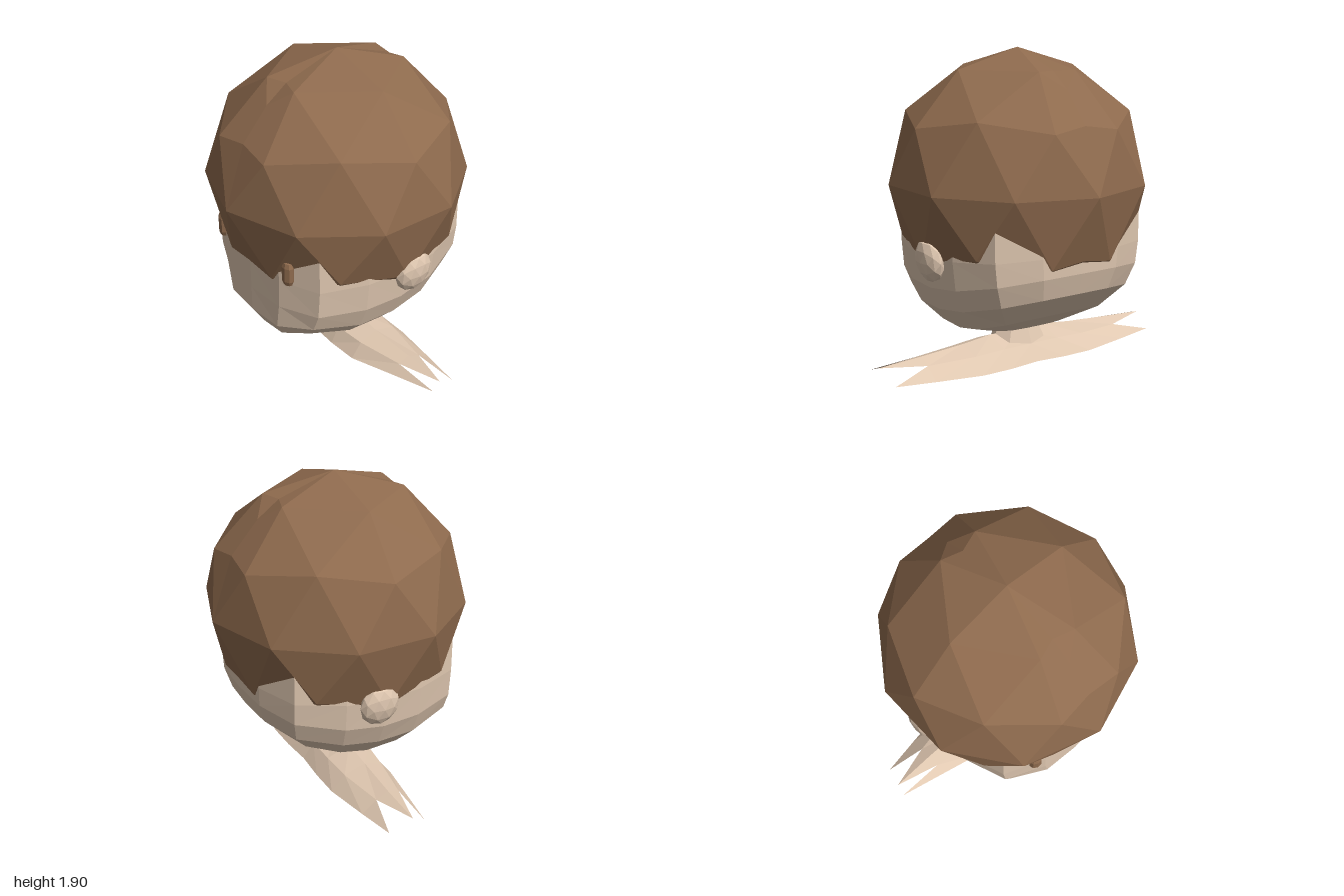
import * as THREE from 'three';

const V = (x, y, z) => new THREE.Vector3(x, y, z);

// Triangles of a grid of points (rows of equal length), skipping collapsed ones
function gridTriangles(rows) {
  const tris = [];
  for (let i = 0; i < rows.length - 1; i++) {
    for (let j = 0; j < rows[i].length - 1; j++) {
      const a = rows[i][j], b = rows[i][j + 1], c = rows[i + 1][j + 1], d = rows[i + 1][j];
      tris.push([a, d, c], [a, c, b]);
    }
  }
  return tris.filter((t) => new THREE.Triangle(...t).getArea() > 1e-7);
}

// Faceted geometry from the +x half plus its mirror image
function mirroredGeometry(tris) {
  const flip = (p) => V(-p.x, p.y, p.z);
  const all = [...tris, ...tris.map(([a, b, c]) => [flip(a), flip(c), flip(b)])];
  const geometry = new THREE.BufferGeometry().setFromPoints(all.flat());
  geometry.computeVertexNormals();
  return geometry;
}

// Keep the x >= 0 part of a triangle
function clipHalf(tri) {
  const out = [];
  tri.forEach((p, i) => {
    const q = tri[(i + 1) % 3];
    if (p.x >= 0) out.push(p);
    if ((p.x >= 0) !== (q.x >= 0)) out.push(p.clone().lerp(q, p.x / (p.x - q.x)));
  });
  return out.slice(2).map((p, i) => [out[0], out[i + 1], p]);
}

// Hair: a faceted ball with a pole on top, one half mirrored on x = 0
function hairGeometry() {
  const ball = new THREE.IcosahedronGeometry(0.79, 1);
  ball.rotateX(-Math.atan((1 + Math.sqrt(5)) / 2));
  ball.rotateY(Math.PI / 2);
  ball.translate(0, 1.12, 0);
  const pos = ball.attributes.position;
  const tris = [];
  for (let i = 0; i < pos.count; i += 3) {
    const tri = [0, 1, 2].map((k) => {
      const p = new THREE.Vector3().fromBufferAttribute(pos, i + k);
      if (Math.abs(p.x) < 1e-5) p.x = 0;
      return p;
    });
    tris.push(...clipHalf(tri));
  }
  return mirroredGeometry(tris.filter((t) => new THREE.Triangle(...t).getArea() > 1e-7));
}

// Head: rounded-square sections, deeper at the chin than at the nape
function headGeometry() {
  const outline = [[0, 1], [0.42, 0.975], [0.81, 0.81], [0.97, 0.38], [1, 0],
    [0.97, -0.38], [0.81, -0.81], [0.42, -0.975], [0, -1]];
  // half width, front z, back z, then y at front, side and back, front corner lift
  const levels = [
    [0.64, 0.645, 0.65, 1.0, 1.0, 1.0, 0],
    [0.64, 0.645, 0.65, 0.72, 0.72, 0.78, 0],
    [0.62, 0.645, 0.645, 0.53, 0.53, 0.66, 0.01],
    [0.56, 0.645, 0.605, 0.37, 0.39, 0.53, 0.05],
    [0.42, 0.57, 0.46, 0.25, 0.25, 0.38, 0.05],
    [0.22, 0.31, 0.24, 0.195, 0.2, 0.25, 0.01],
    [0, 0, 0, 0.195, 0.195, 0.195, 0],
  ];
  const rows = levels.map(([w, zf, zb, yf, ys, yb, lift]) => outline.map(([u, v], j) => {
    const y = THREE.MathUtils.lerp(ys, v > 0 ? yf : yb, Math.abs(v) ** 1.5);
    return V(u * w, y + (j === 2 ? lift : 0), v * (v > 0 ? zf : zb));
  }));
  return mirroredGeometry(gridTriangles(rows));
}

// Shoulders: an open arched shell that ends in three points on each side
function shouldersGeometry() {
  // x, then (y, z) from front edge over the ridge to back edge
  const stations = [
    [0, [0.02, 0.19], [0.11, 0.14], [0.155, 0], [0.11, -0.15], [0.015, -0.22]],
    [0.2, [0.01, 0.195], [0.11, 0.14], [0.165, 0], [0.11, -0.15], [0.01, -0.23]],
    [0.4, [0.012, 0.19], [0.1, 0.12], [0.142, 0], [0.1, -0.14], [0.01, -0.23]],
    [0.7, [0.05, 0.125], [0.1, 0.065], [0.125, -0.01], [0.09, -0.09], [0.02, -0.185]],
  ];
  const rows = stations.map(([x, ...section]) => section.map(([y, z]) => V(x, y, z)));
  const tris = gridTriangles(rows);
  const end = rows[rows.length - 1];
  const frontTip = V(1, 0.085, 0.06), midTip = V(0.98, 0.11, -0.01), backTip = V(0.945, 0.03, -0.145);
  [frontTip, midTip, midTip, backTip].forEach((tip, j) => tris.push([end[j], tip, end[j + 1]]));
  return mirroredGeometry(tris);
}

export function createModel() {
  const model = new THREE.Group();
  const hairBrown = new THREE.MeshStandardMaterial({ color: 0x8f6b4e, flatShading: true });
  hairBrown.name = 'hairBrown';
  const skin = new THREE.MeshStandardMaterial({ color: 0xdfc7b0, flatShading: true, side: THREE.DoubleSide });
  skin.name = 'skin';

  const add = (name, geometry, material) => {
    const mesh = new THREE.Mesh(geometry, material);
    mesh.name = name;
    model.add(mesh);
    return mesh;
  };

  add('hair', hairGeometry(), hairBrown);
  add('head', headGeometry(), skin);
  add('shoulders', shouldersGeometry(), skin);

  // Short open neck
  const neck = new THREE.CylinderGeometry(0.13, 0.19, 0.12, 8, 1, true);
  neck.scale(1, 1, 0.8);
  add('neck', neck, skin).position.set(0, 0.17, 0);

  // Ears and eyes, one on each side
  for (const [side, s] of [['left', 1], ['right', -1]]) {
    const ear = new THREE.IcosahedronGeometry(1, 1);
    ear.scale(0.065, 0.132, 0.126);
    const earMesh = add(side + 'Ear', ear, skin);
    earMesh.position.set(s * 0.657, 0.712, -0.055);
    earMesh.rotation.z = -s * 0.12;

    const eye = new THREE.CapsuleGeometry(0.04, 0.09, 2, 8);
    eye.scale(1, 1, 0.75);
    const eyeMesh = add(side + 'Eye', eye, hairBrown);
    eyeMesh.position.set(s * 0.335, 0.8, 0.61);
    eyeMesh.rotation.y = s * 0.25;
  }
  return model;
}
